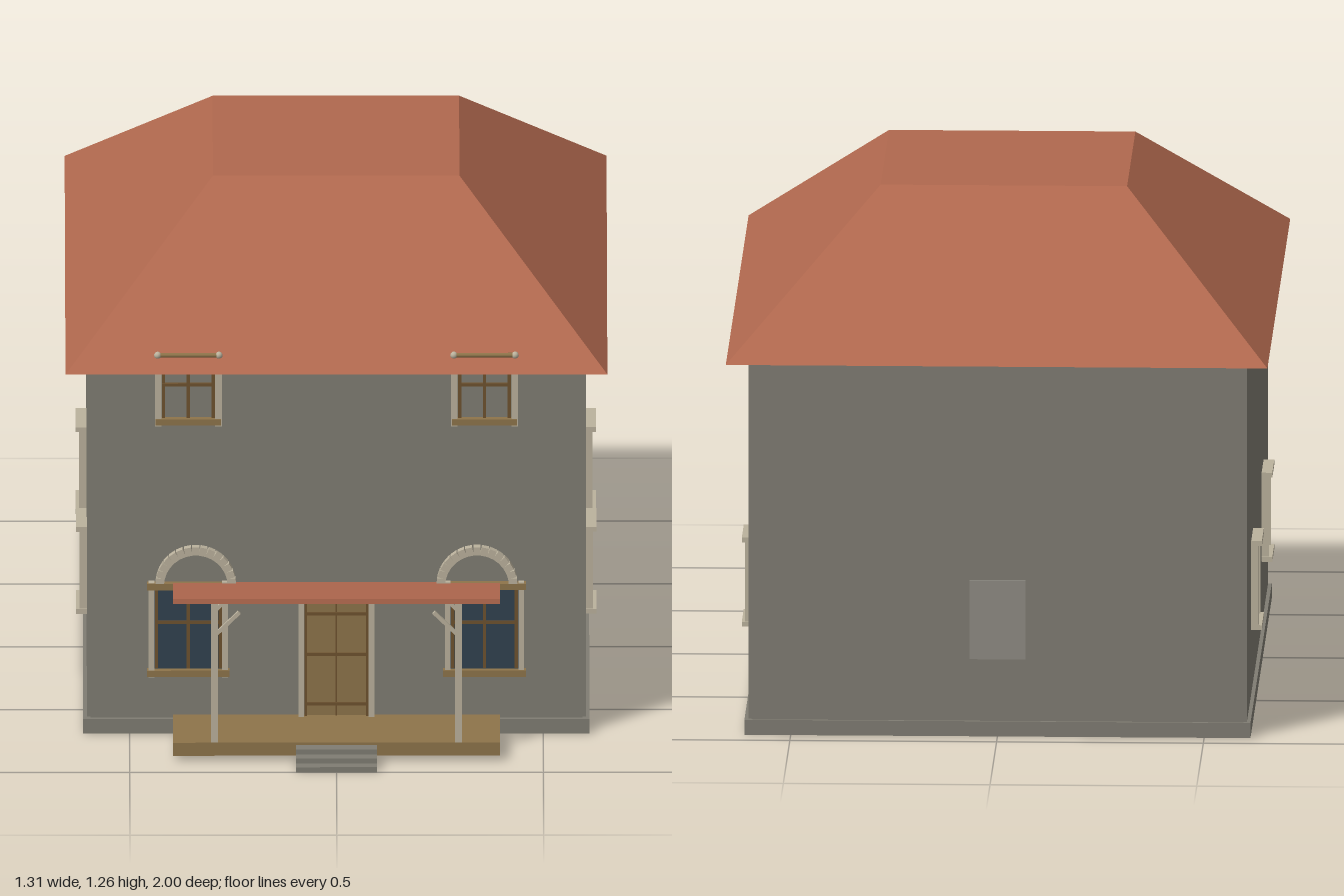
import * as THREE from 'three';

const mat = (name, color, side = THREE.FrontSide) => {
  const m = new THREE.MeshStandardMaterial({ color, side });
  m.name = name;
  return m;
};

export function createModel() {
  const stone = mat('stone grey', 0x807d73);
  const paleStone = mat('pale stone', 0x8f8c84);
  const tile = mat('terracotta', 0xb0684e);
  const trim = mat('cream trim', 0xbbb29d);
  const wood = mat('golden wood', 0x8e744a);
  const darkWood = mat('dark wood', 0x6e522f);
  const glass = mat('blue glass', 0x314250);

  const house = new THREE.Group();
  house.name = 'house';

  const add = (parent, name, geo, material) => {
    const m = new THREE.Mesh(geo, material);
    m.name = name;
    parent.add(m);
    return m;
  };
  // box given by its limits on each axis
  const box = (parent, name, material, x0, x1, y0, y1, z0, z1) => {
    const m = add(parent, name, new THREE.BoxGeometry(x1 - x0, y1 - y0, z1 - z0), material);
    m.position.set((x0 + x1) / 2, (y0 + y1) / 2, (z0 + z1) / 2);
    return m;
  };
  // square bar between two points
  const bar = (parent, name, material, a, b, t) => {
    const p = new THREE.Vector3(...a), q = new THREE.Vector3(...b);
    const m = add(parent, name, new THREE.BoxGeometry(t, t, p.distanceTo(q)), material);
    m.position.copy(p).add(q).multiplyScalar(0.5);
    m.lookAt(q);
    return m;
  };
  const group = (name, x = 0, y = 0, z = 0, ry = 0) => {
    const g = new THREE.Group();
    g.name = name;
    g.position.set(x, y, z);
    g.rotation.y = ry;
    house.add(g);
    return g;
  };

  // Walls with small notched corners, on a plinth
  box(house, 'frontAndBackWalls', stone, -0.595, 0.595, 0.02, 0.93, -0.93, 0.68);
  box(house, 'sideWalls', stone, -0.603, 0.603, 0.02, 0.93, -0.922, 0.672);
  box(house, 'plinth', stone, -0.612, 0.612, 0.005, 0.042, -0.937, 0.69);

  // Hipped roof with a flat top: a box whose upper corners are drawn in
  const roofGeo = new THREE.BoxGeometry(1, 1, 1);
  const p = roofGeo.attributes.position;
  for (let i = 0; i < p.count; i++) {
    const top = p.getY(i) > 0, front = p.getZ(i) > 0;
    p.setXYZ(i, Math.sign(p.getX(i)) * (top ? 0.298 : 0.655), top ? 1.262 : 0.932,
      top ? (front ? 0.193 : -0.443) : (front ? 0.742 : -1));
  }
  roofGeo.computeVertexNormals();
  add(house, 'roof', roofGeo, tile);

  // Side windows, built facing +z and turned onto each side
  for (const s of [-1, 1]) {
    for (const z of [0.273, -0.522]) {
      const g = group('sideWindow', s * 0.603, 0.31, z, s * Math.PI / 2);
      box(g, 'pane', glass, -0.066, 0.066, -0.1, 0.1, 0, 0.004);
      for (const e of [-1, 1]) {
        box(g, 'jamb', trim, e * 0.067 - 0.006, e * 0.067 + 0.006, -0.1, 0.1, 0, 0.018);
        box(g, 'crossFrame', trim, -0.076, 0.076, e * 0.104 - 0.006, e * 0.104 + 0.006, 0, 0.026);
      }
    }
  }

  // Blank panel in the back wall
  box(house, 'backPanel', paleStone, -0.068, 0.068, 0.195, 0.39, -0.935, -0.929);

  for (const s of [-1, 1]) {
    // Lower front window
    const w = group('lowerWindow', s * 0.358, 0.27, 0.68);
    box(w, 'pane', glass, -0.086, 0.086, -0.11, 0.11, 0, 0.004);
    for (const e of [-1, 1]) {
      box(w, 'jamb', trim, e * 0.089 - 0.007, e * 0.089 + 0.007, -0.12, 0.12, 0, 0.018);
      box(w, 'innerFrame', darkWood, e * 0.077 - 0.004, e * 0.077 + 0.004, -0.1, 0.1, 0, 0.008);
      box(w, 'sillAndLintel', wood, -0.1, 0.1, e * 0.11 - 0.008, e * 0.11 + 0.008, 0, 0.022);
    }
    box(w, 'mullion', darkWood, -0.004, 0.004, -0.1, 0.1, 0, 0.009);
    box(w, 'glazingBar', darkWood, -0.08, 0.08, 0.012, 0.02, 0, 0.009);

    // Arch of separate stones above it
    const arch = group('stoneArch', s * 0.34, 0.383, 0.69);
    const count = 15;
    for (let i = 0; i < count; i++) {
      const a = Math.PI * (i + 0.5) / count;
      const b = add(arch, 'archStone', new THREE.BoxGeometry(0.021, 0.0175, 0.022), trim);
      b.position.set(Math.cos(a) * 0.087, Math.sin(a) * 0.087, 0);
      b.rotation.z = a;
    }

    // Upper front window, tucked under the eaves
    const u = group('upperWindow', s * 0.358, 0, 0.68);
    for (const e of [-1, 1]) {
      box(u, 'jamb', trim, e * 0.073 - 0.008, e * 0.073 + 0.008, 0.786, 0.95, 0, 0.018);
      box(u, 'innerFrame', darkWood, e * 0.06 - 0.004, e * 0.06 + 0.004, 0.8, 0.94, 0, 0.008);
      const knob = add(u, 'rodEnd', new THREE.SphereGeometry(0.009, 12, 8), trim);
      knob.position.set(e * 0.074, 0.965, 0.012);
    }
    box(u, 'sill', wood, -0.079, 0.079, 0.79, 0.805, 0, 0.022);
    box(u, 'mullion', darkWood, -0.004, 0.004, 0.8, 0.94, 0, 0.009);
    box(u, 'glazingBar', darkWood, -0.064, 0.064, 0.885, 0.892, 0, 0.009);
    const rod = add(u, 'rod', new THREE.CylinderGeometry(0.006, 0.006, 0.148, 10), wood);
    rod.rotation.z = Math.PI / 2;
    rod.position.set(0, 0.965, 0.012);
  }

  // Front door
  const door = group('door', 0, 0, 0.68);
  box(door, 'slab', wood, -0.077, 0.077, 0.05, 0.375, 0, 0.006);
  for (const e of [-1, 1]) {
    box(door, 'jamb', trim, e * 0.085 - 0.007, e * 0.085 + 0.007, 0.05, 0.38, 0, 0.02);
    box(door, 'stile', darkWood, e * 0.074 - 0.003, e * 0.074 + 0.003, 0.05, 0.375, 0, 0.011);
  }
  box(door, 'lintel', wood, -0.095, 0.095, 0.365, 0.38, 0, 0.022);
  box(door, 'centreBar', darkWood, -0.002, 0.002, 0.05, 0.365, 0, 0.008);
  for (const y of [0.08, 0.205, 0.308]) {
    box(door, 'rail', darkWood, -0.074, 0.074, y - 0.004, y + 0.004, 0, 0.01);
  }

  // Porch deck and steps
  box(house, 'porchDeck', wood, -0.395, 0.395, 0.017, 0.05, 0.68, 0.905);
  for (let i = 0; i < 3; i++) {
    box(house, 'step', stone, -0.098, 0.098, 0.005 + i * 0.013, 0.018 + i * 0.013, 0.9, 1 - i * 0.03);
  }

  // Porch roof, falling slightly towards the wall
  const porchRoof = add(house, 'porchRoof', new THREE.BoxGeometry(0.79, 0.012, 0.236), tile);
  porchRoof.position.set(0, 0.395, 0.795);
  porchRoof.rotation.x = -Math.atan2(0.03, 0.23);

  // Porch posts, braces and side railings
  for (const s of [-1, 1]) {
    const x = s * 0.295;
    box(house, 'frontPost', trim, x - 0.008, x + 0.008, 0.05, 0.402, 0.885, 0.902);
    box(house, 'wallPost', trim, x - 0.008, x + 0.008, 0.05, 0.378, 0.688, 0.704);
    for (const z of [0.893, 0.696]) {
      bar(house, 'brace', trim, [x, 0.318, z], [x - s * 0.06, 0.377, z], 0.009);
    }
    for (const y of [0.085, 0.175]) {
      bar(house, 'railing', trim, [x, y, 0.69], [x, y, 0.893], 0.009);
    }
    bar(house, 'railingDiagonal', trim, [x, 0.085, 0.89], [x, 0.175, 0.695], 0.008);
  }
  return house;
}
